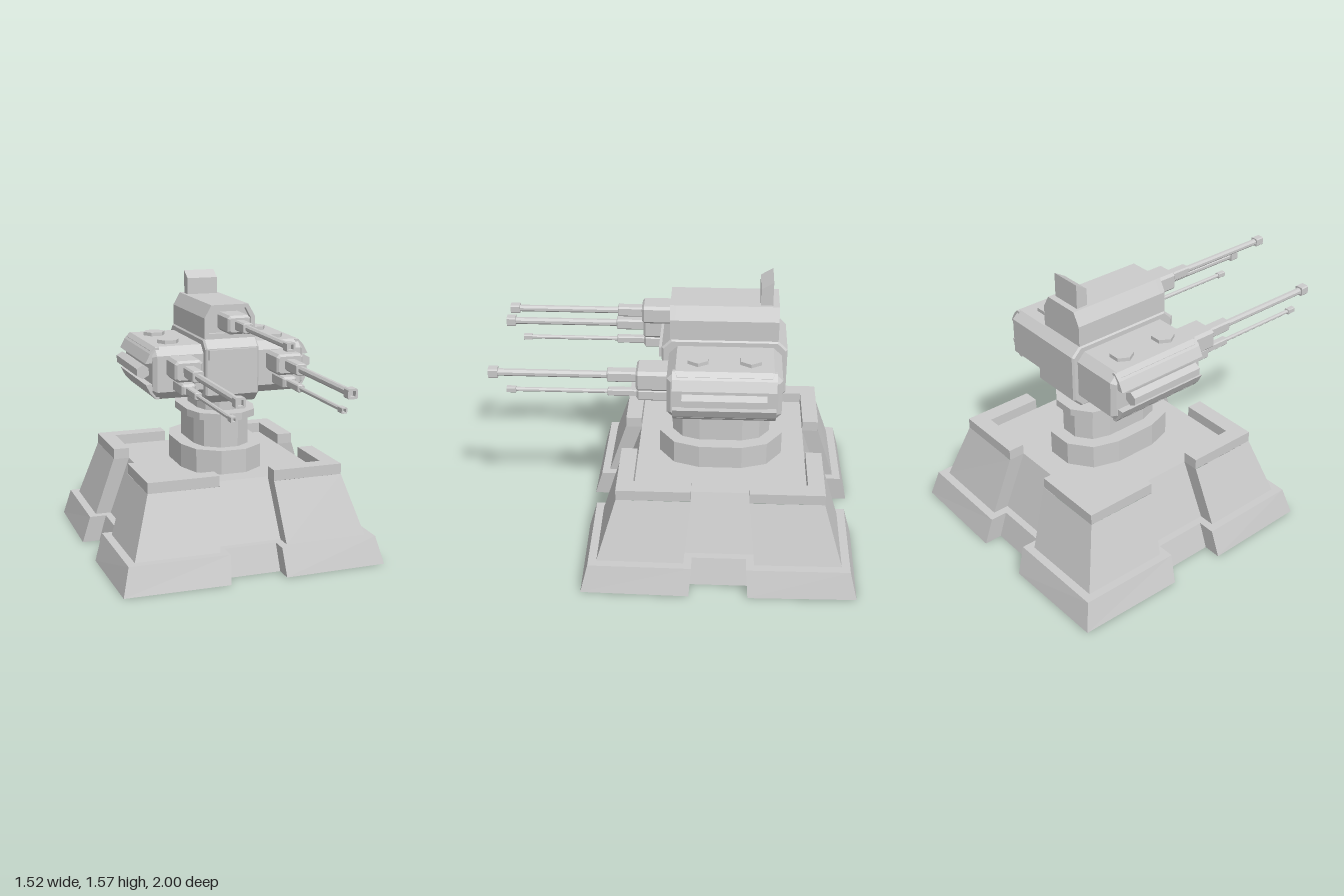
import * as THREE from 'three';

const CZ = -0.24; // centre of base and turret in z
const mat = new THREE.MeshStandardMaterial({ color: 0xcccccc, flatShading: true });
const shellMat = new THREE.MeshStandardMaterial({ color: 0xcccccc, flatShading: true, side: THREE.DoubleSide });

const toShape = (pts) => new THREE.Shape(pts.map(([x, y]) => new THREE.Vector2(x, y)));

function add(parent, name, geometry, x = 0, y = 0, z = 0, material = mat) {
  const mesh = new THREE.Mesh(geometry, material);
  mesh.name = name;
  mesh.position.set(x, y, z);
  parent.add(mesh);
  return mesh;
}

// Outline extruded to a centred depth, keeping its overall size when bevelled
function prism(shape, depth, bevel = 0) {
  const g = new THREE.ExtrudeGeometry(shape, {
    depth: depth - 2 * bevel, bevelEnabled: bevel > 0, bevelThickness: bevel,
    bevelSize: bevel, bevelOffset: -bevel, bevelSegments: 1, curveSegments: 4,
  });
  return g.translate(0, 0, bevel - depth / 2);
}

// Rectangle with cut corners
function cutRect(w, h, c) {
  const a = w / 2, b = h / 2;
  return toShape([[a, -b + c], [a, b - c], [a - c, b], [-a + c, b], [-a, b - c], [-a, -b + c], [-a + c, -b], [a - c, -b]]);
}

// Base outline: square with a notch in the middle of each side
// n = notch depth line, w = notch half width, h = side, c = corner
function baseRing(n, w, h, c) {
  const ring = [];
  let q = [[n, w], [h, w], [c, c], [w, h], [w, n]];
  for (let k = 0; k < 4; k++) {
    ring.push(...q);
    q = q.map(([x, z]) => [-z, x]);
  }
  return ring;
}

function ringStrips(levels) {
  const pos = [];
  for (let l = 0; l < levels.length - 1; l++) {
    const [y0, r0] = levels[l], [y1, r1] = levels[l + 1];
    r0.forEach((p, i) => {
      const j = (i + 1) % r0.length;
      const a = [p[0], y0, p[1]], b = [r0[j][0], y0, r0[j][1]];
      const c = [r1[i][0], y1, r1[i][1]], d = [r1[j][0], y1, r1[j][1]];
      pos.push(...a, ...c, ...b, ...b, ...c, ...d);
    });
  }
  const g = new THREE.BufferGeometry();
  g.setAttribute('position', new THREE.Float32BufferAttribute(pos, 3));
  g.computeVertexNormals();
  return g;
}

// Faceted oval lying flat: two half circles joined by straight sides
function ovalPrism(r, halfLength, y0, y1) {
  const pts = [];
  for (const s of [1, -1]) {
    for (let i = 0; i <= 5; i++) {
      const a = (i / 5) * Math.PI;
      pts.push([s * r * Math.cos(a), s * (halfLength - r + r * Math.sin(a))]);
    }
  }
  return prism(toShape(pts), y1 - y0).rotateX(-Math.PI / 2).translate(0, (y0 + y1) / 2, 0);
}

// Gun along +z: mount block, sleeve, barrel and hollow square muzzle
function makeGun(name, o) {
  const gun = new THREE.Group();
  gun.name = name;
  const block = (part, w, h, z0, z1, bevel) =>
    add(gun, part, prism(cutRect(w, h, Math.min(w, h) * 0.14), z1 - z0, bevel), 0, 0, (z0 + z1) / 2);
  block('mount', o.mount[0], o.mount[1], 0, o.mountEnd, 0.012);
  block('sleeve', o.sleeve, o.sleeve, o.mountEnd - 0.02, o.sleeveEnd, 0.004);
  const len = o.tip - 0.03 - o.sleeveEnd;
  add(gun, 'barrel', new THREE.CylinderGeometry(o.barrel, o.barrel, len, 8).rotateX(Math.PI / 2).rotateZ(Math.PI / 8),
    0, 0, o.sleeveEnd + len / 2);
  const tip = cutRect(o.muzzle, o.muzzle, o.muzzle * 0.12);
  const m = o.muzzle * 0.28;
  tip.holes.push(new THREE.Path([[-m, -m], [-m, m], [m, m], [m, -m]].map(([x, y]) => new THREE.Vector2(x, y))));
  add(gun, 'muzzle', prism(tip, 0.05), 0, 0, o.tip - 0.025);
  return gun;
}

export function createModel() {
  const model = new THREE.Group();
  model.name = 'gunTurret';

  // Base: sloped skirt and walls, open underneath
  const base = new THREE.Group();
  base.name = 'base';
  base.position.z = CZ;
  model.add(base);
  add(base, 'skirtAndWalls', ringStrips([
    [0, baseRing(0.66, 0.16, 0.76, 0.75)],
    [0.155, baseRing(0.62, 0.148, 0.715, 0.71)],
    [0.155, baseRing(0.58, 0.192, 0.67, 0.665)],
    [0.49, baseRing(0.47, 0.157, 0.563, 0.56)],
  ]), 0, 0, 0, shellMat);
  add(base, 'deck', new THREE.PlaneGeometry(0.94, 0.94).rotateX(-Math.PI / 2), 0, 0.49, 0, shellMat);
  const corner = toShape([[0.157, 0.47], [0.47, 0.47], [0.47, 0.157], [0.56, 0.157], [0.56, 0.56], [0.157, 0.56]]);
  for (let k = 0; k < 4; k++) {
    const g = prism(corner, 0.06).rotateX(-Math.PI / 2).rotateY(k * Math.PI / 2);
    add(base, 'cornerParapet', g, 0, 0.52, 0);
  }

  // Pedestal
  const pedestal = [
    ['pedestalFoot', 0.237, 0.355, 0.485, 0.625],
    ['pedestalColumn', 0.162, 0.28, 0.625, 0.785],
    ['pedestalCollar', 0.2, 0.315, 0.785, 0.825],
    ['pedestalNeck', 0.13, 0.222, 0.825, 0.9],
  ];
  for (const [name, r, half, y0, y1] of pedestal) add(model, name, ovalPrism(r, half, y0, y1), 0, 0, CZ + 0.005);

  // Central body with raised front panel
  const head = new THREE.Group();
  head.name = 'turretHead';
  model.add(head);
  add(head, 'centralBody', prism(cutRect(0.67, 0.36, 0.05), 0.31, 0.01).rotateY(Math.PI / 2), 0, 1.07, -0.245);
  add(head, 'frontPanel', new THREE.BoxGeometry(0.28, 0.055, 0.03), 0, 1.167, 0.09);

  // Upper housing with a recessed front
  const roof = (w, y0, y1, top, shoulder) =>
    [[-w, y0], [w, y0], [w, shoulder], [top, y1], [-top, y1], [-w, shoulder]];
  const outer = roof(0.147, 1.23, 1.432, 0.107, 1.362);
  const inner = roof(0.122, 1.275, 1.412, 0.092, 1.355);
  add(head, 'upperHousing', prism(toShape(outer), 0.545), 0, 0, -0.2575);
  const rim = toShape(outer);
  rim.holes.push(new THREE.Path(inner.map(([x, y]) => new THREE.Vector2(x, y))));
  add(head, 'housingRim', prism(rim, 0.03), 0, 0, 0.03);
  const fin = toShape([[0.43, 1.42], [0.495, 1.42], [0.495, 1.565], [0.43, 1.525]]);
  add(head, 'rearFin', prism(fin, 0.18).rotateY(Math.PI / 2));

  const topGun = makeGun('topGun', {
    mount: [0.13, 0.1], mountEnd: 0.19, sleeve: 0.055, sleeveEnd: 0.32, barrel: 0.018, muzzle: 0.045, tip: 0.9,
  });
  topGun.position.set(0, 1.342, 0.01);
  head.add(topGun);

  // Side pods, mirrored
  for (const s of [1, -1]) {
    const pod = new THREE.Group();
    pod.name = s > 0 ? 'leftPod' : 'rightPod';
    head.add(pod);
    add(pod, 'podBody', prism(cutRect(0.6, 0.29, 0.045), 0.33, 0.022).rotateY(Math.PI / 2), s * 0.275, 1.07, -0.25);

    // Ribs above and below a hexagonal side rail
    for (const v of [1, -1]) {
      const rib = [[0.4, 0.143], [0.42, 0.143], [0.45, 0.11], [0.477, 0.058], [0.4, 0.058]];
      add(pod, v > 0 ? 'upperRib' : 'lowerRib', prism(toShape(rib.map(([x, y]) => [s * x, v * y])), 0.54), 0, 1.07, -0.25);
    }
    add(pod, 'sideRail', new THREE.CylinderGeometry(0.039, 0.039, 0.44, 6).rotateX(Math.PI / 2), s * 0.478, 1.073, -0.25);
    add(pod, 'railBracket', new THREE.BoxGeometry(0.06, 0.03, 0.4), s * 0.445, 1.073, -0.25);

    // Roof bolts
    for (const z of [-0.385, -0.11]) {
      add(pod, 'roofBolt', new THREE.CylinderGeometry(0.063, 0.063, 0.04, 6).rotateY(Math.PI / 6), s * 0.31, 1.215, z);
    }

    // Large gun over a small one
    const large = makeGun('largeGun', {
      mount: [0.155, 0.115], mountEnd: 0.2, sleeve: 0.062, sleeveEnd: 0.355, barrel: 0.02, muzzle: 0.052, tip: 0.985,
    });
    large.position.set(s * 0.29, 1.11, 0.015);
    const small = makeGun('smallGun', {
      mount: [0.08, 0.065], mountEnd: 0.2, sleeve: 0.04, sleeveEnd: 0.355, barrel: 0.012, muzzle: 0.03, tip: 0.895,
    });
    small.position.set(s * 0.29, 1.007, 0.015);
    pod.add(large, small);
  }

  return model;
}
